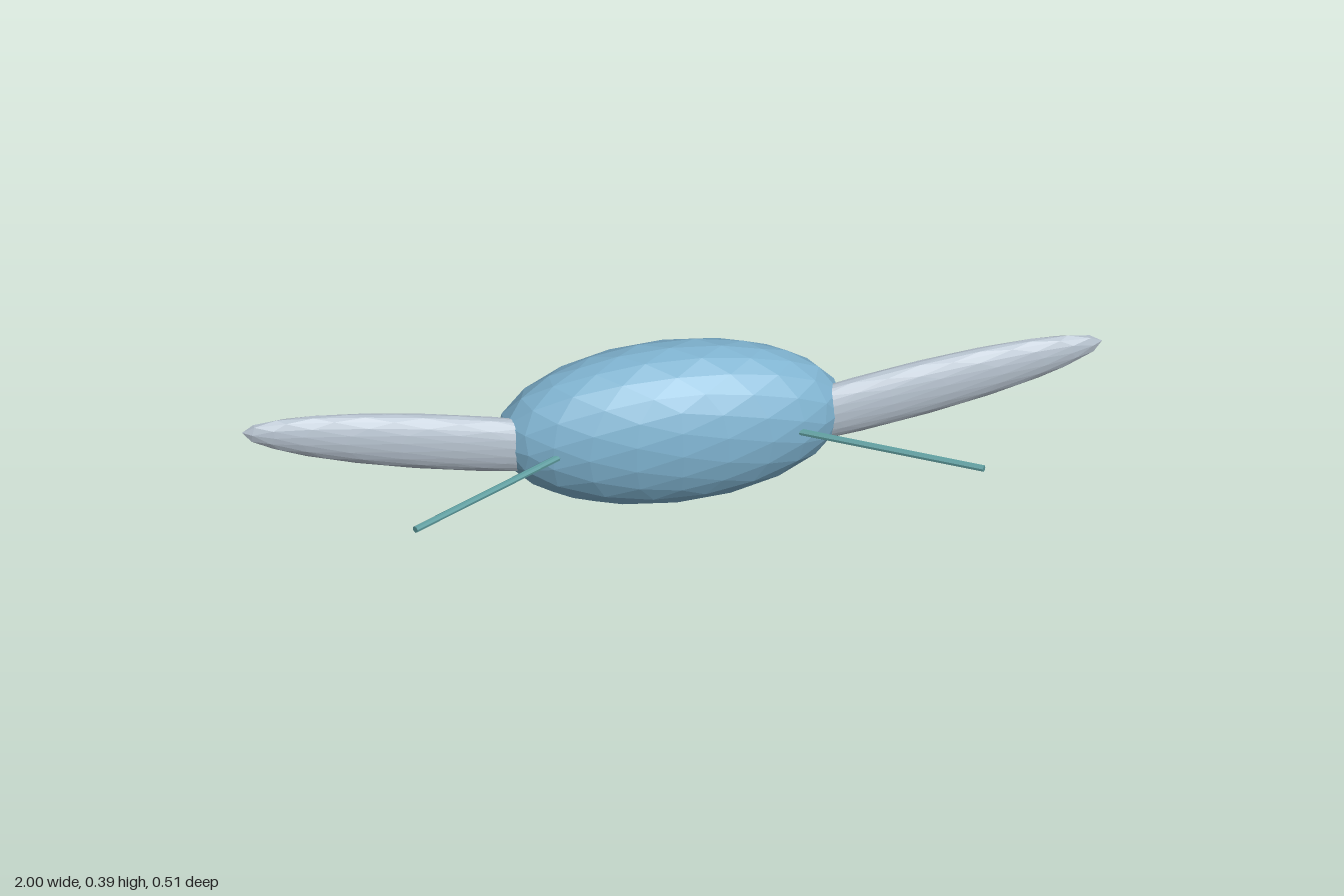
import * as THREE from 'three';

const flat = (name, color) => {
  const m = new THREE.MeshStandardMaterial({ color, flatShading: true });
  m.name = name;
  return m;
};

export function createModel() {
  const skyBlue = flat('skyBlue', 0x7fb3d0);
  const paleGrey = flat('paleGrey', 0xb4c0cc);
  const teal = flat('teal', 0x5f9ea0);

  const model = new THREE.Group();
  model.name = 'wingedBody';

  // Faceted ellipsoid with the given half-sizes
  const ellipsoid = (name, material, rx, ry, rz) => {
    const mesh = new THREE.Mesh(new THREE.IcosahedronGeometry(1, 3).scale(rx, ry, rz), material);
    mesh.name = name;
    model.add(mesh);
    return mesh;
  };

  // Body
  ellipsoid('body', skyBlue, 0.406, 0.197, 0.159).position.set(0, 0.197, -0.0955);

  for (const side of [1, -1]) {
    const label = side > 0 ? 'left' : 'right';

    // Slim wing, raised toward its tip
    const wing = ellipsoid(label + 'Wing', paleGrey, 0.5, 0.07, 0.038);
    wing.position.set(side * 0.507, 0.218, -0.0705);
    wing.rotation.z = side * THREE.MathUtils.degToRad(10);

    // Thin rod reaching forward and outward
    const start = new THREE.Vector3(side * 0.27, 0.199, 0.004);
    const end = new THREE.Vector3(side * 0.661, 0.199, 0.248);
    const direction = end.clone().sub(start);
    const rod = new THREE.Mesh(new THREE.CylinderGeometry(0.008, 0.008, direction.length(), 8), teal);
    rod.name = label + 'Rod';
    rod.position.copy(start).lerp(end, 0.5);
    rod.quaternion.setFromUnitVectors(new THREE.Vector3(0, 1, 0), direction.normalize());
    model.add(rod);
  }

  return model;
}
